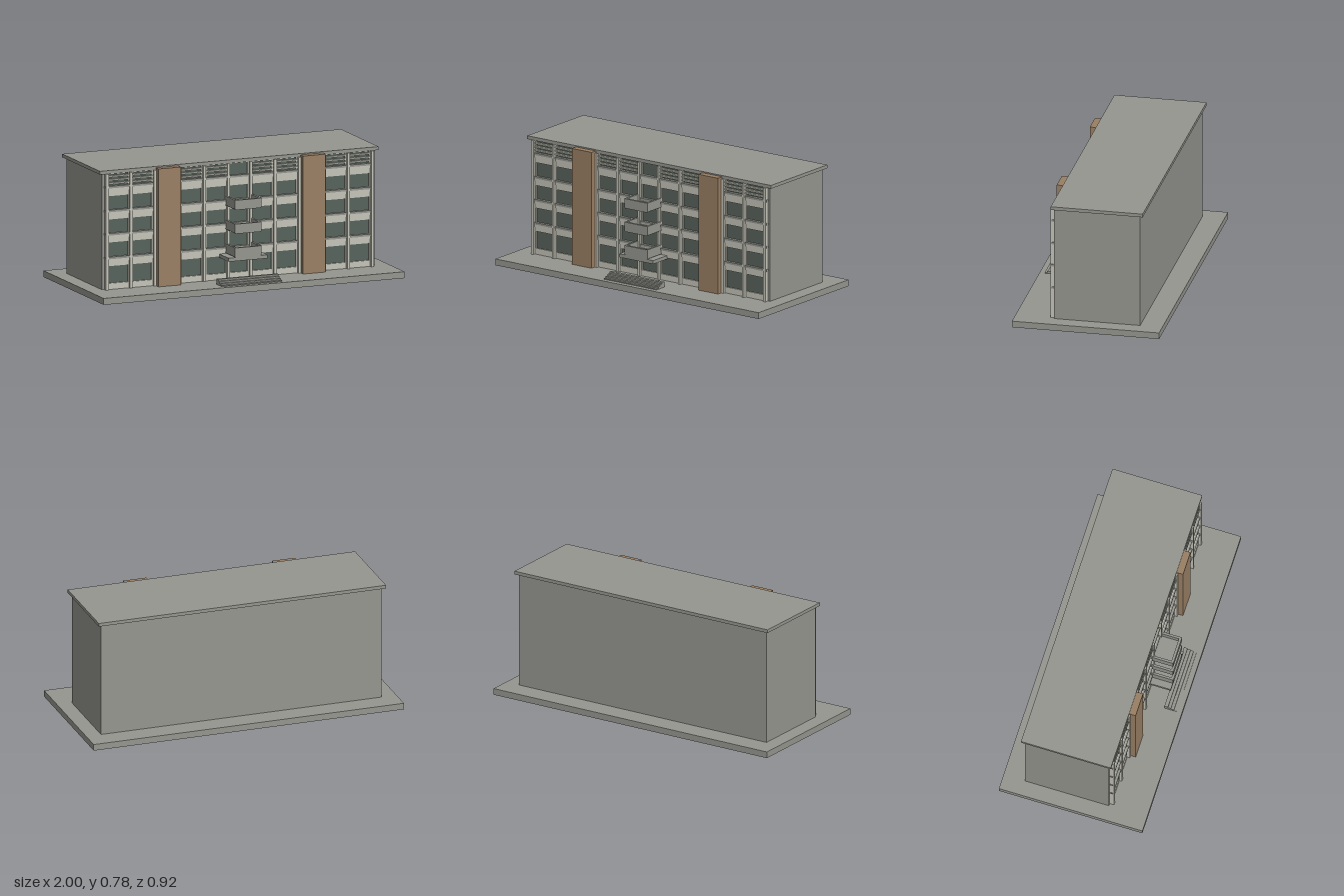
import * as THREE from 'three';

const material = (name, color) => {
  const m = new THREE.MeshStandardMaterial({ color });
  m.name = name;
  return m;
};

export function createModel() {
  const concrete = material('concrete grey', 0x969690);
  const cream = material('pale stone', 0xc4c4b8);
  const brown = material('brown cladding', 0x997f64);
  const glass = material('window glass', 0x58635c);

  const model = new THREE.Group();
  model.name = 'officeBuilding';

  // Box given by its limits on each axis
  const box = (name, mat, x0, x1, y0, y1, z0, z1, parent = model) => {
    const mesh = new THREE.Mesh(new THREE.BoxGeometry(x1 - x0, y1 - y0, z1 - z0), mat);
    mesh.position.set((x0 + x1) / 2, (y0 + y1) / 2, (z0 + z1) / 2);
    mesh.name = name;
    parent.add(mesh);
    return mesh;
  };
  const group = (name) => {
    const g = new THREE.Group();
    g.name = name;
    model.add(g);
    return g;
  };

  // Ground slab, main block and roof
  box('groundSlab', concrete, -1, 1, 0, 0.04, -0.458, 0.458);
  box('mainBlock', concrete, -0.905, 0.905, 0.04, 0.761, -0.32, 0.215);
  box('roofSlab', concrete, -0.926, 0.926, 0.76, 0.781, -0.34, 0.233);

  const wallZ = 0.215;
  const floors = [[0.078, 0.185], [0.243, 0.332], [0.39, 0.475], [0.535, 0.62], [0.683, 0.757]];
  const bays = [[-0.872, -0.73], [-0.713, -0.572], [-0.388, -0.245], [-0.225, -0.082],
    [-0.066, 0.066], [0.082, 0.225], [0.245, 0.388], [0.572, 0.713], [0.73, 0.872]];

  // Pale facade with an opening for every window
  const wall = new THREE.Shape();
  wall.moveTo(-0.889, 0.04).lineTo(0.889, 0.04).lineTo(0.889, 0.76).lineTo(-0.889, 0.76).closePath();
  for (const [x0, x1] of bays) {
    for (const [y0, y1] of floors) {
      const hole = new THREE.Path();
      const a = x0 + 0.008, b = x1 - 0.008;
      hole.moveTo(a, y0).lineTo(a, y1).lineTo(b, y1).lineTo(b, y0).closePath();
      wall.holes.push(hole);
    }
  }
  const facade = new THREE.Mesh(
    new THREE.ExtrudeGeometry(wall, { depth: 0.011, bevelEnabled: false }), cream);
  facade.position.z = wallZ;
  facade.name = 'facade';
  model.add(facade);

  // Glazing set into the openings, louvres across the top floor
  const windows = group('windows');
  const louvres = group('louvres');
  bays.forEach(([x0, x1], bay) => {
    floors.forEach(([y0, y1], floor) => {
      box('windowPane', glass, x0 + 0.008, x1 - 0.008, y0, y1, wallZ - 0.002, wallZ + 0.003, windows);
      if (floor === 4 && bay !== 4) {
        for (let i = 0; i < 3; i++) {
          const y = 0.694 + i * 0.022;
          box('louvre', cream, x0, x1, y, y + 0.009, wallZ, 0.234, louvres);
        }
      }
    });
  });

  // Sills with a pale band beneath, interrupted by the two brown towers
  const sills = group('sills');
  for (const [, y] of floors.entries()) {
    const top = y[0];
    if (top < 0.1) continue;
    for (const [x0, x1] of [[-0.893, -0.555], [-0.405, 0.405], [0.555, 0.893]]) {
      box('sill', concrete, x0, x1, top - 0.013, top, wallZ, 0.237, sills);
      box('sillBand', cream, x0 + 0.005, x1 - 0.005, top - 0.03, top - 0.013, wallZ, 0.231, sills);
    }
  }

  // Vertical piers and tall brown towers, mirrored left and right
  const piers = group('piers');
  for (const side of [-1, 1]) {
    for (const [x, w] of [[0.881, 0.018], [0.7215, 0.017], [0.562, 0.018], [0.397, 0.018],
      [0.235, 0.018], [0.074, 0.016]]) {
      box('pier', cream, side * x - w / 2, side * x + w / 2, 0.04, 0.76, wallZ, 0.243, piers);
    }
    box('brownTower', brown, side * 0.48 - 0.075, side * 0.48 + 0.075, 0.04, 0.773, wallZ, 0.275);
  }

  // Entrance canopy
  box('entranceCanopy', concrete, -0.13, 0.13, 0.178, 0.2, wallZ, 0.365);

  // Open-topped balconies
  for (const y of [0.2, 0.348, 0.496]) {
    const balcony = group('balcony');
    box('balconyFloor', concrete, -0.082, 0.082, y, y + 0.02, wallZ, 0.355, balcony);
    box('balconyFront', concrete, -0.084, 0.084, y, y + 0.06, 0.352, 0.368, balcony);
    for (const side of [-1, 1]) {
      box('balconySide', concrete, side * 0.082 - 0.007, side * 0.082 + 0.007,
        y + 0.004, y + 0.061, wallZ, 0.366, balcony);
    }
  }

  // Entrance steps
  const steps = group('entranceSteps');
  [[0.369, 0.075], [0.388, 0.065], [0.407, 0.055], [0.425, 0.046]].forEach(([z, y], i) => {
    box('step', concrete, -0.2, 0.2, 0.04, y, i ? 0.35 + i * 0.019 : 0.346, z, steps);
  });

  return model;
}
